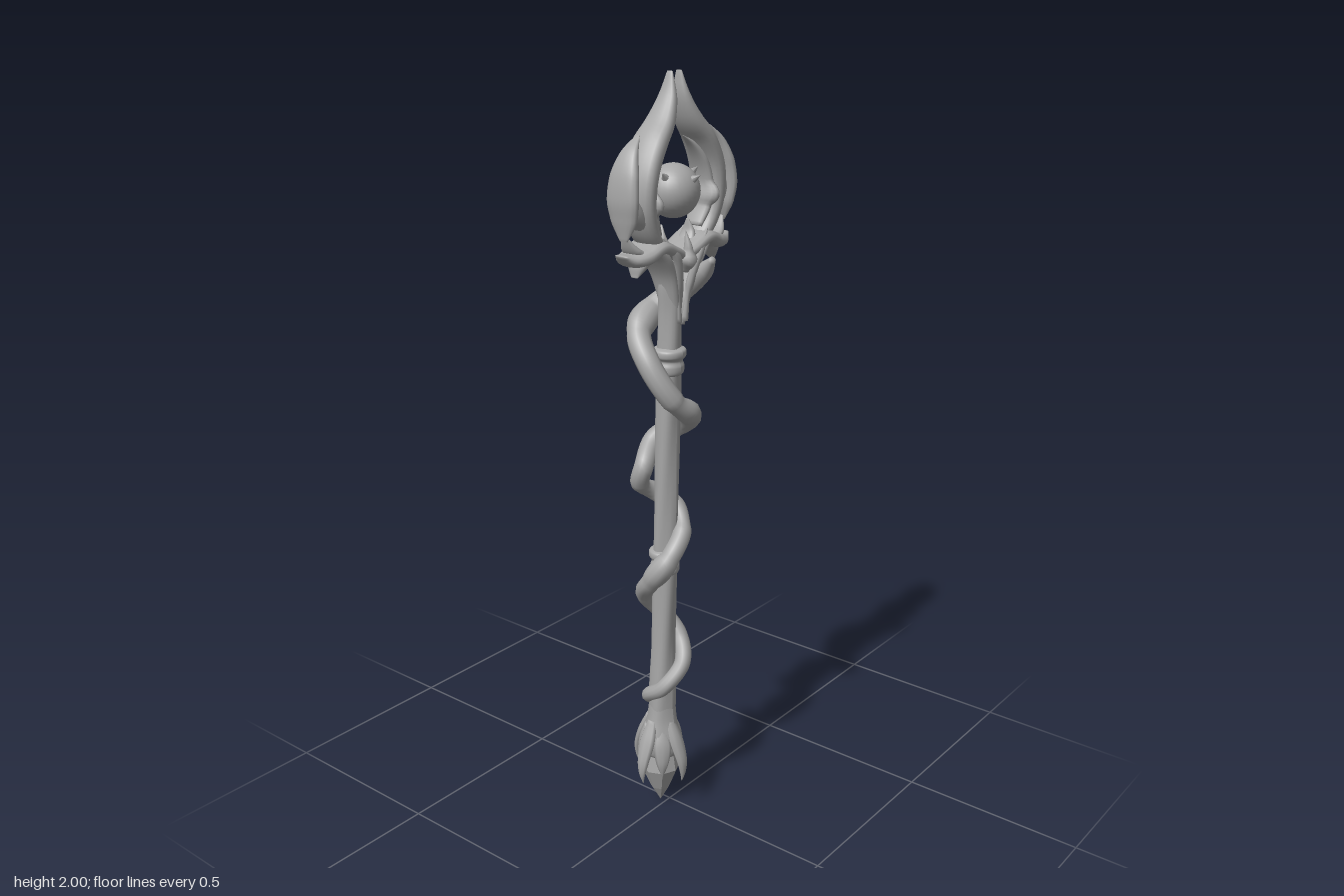
import * as THREE from 'three';

const grey = new THREE.MeshStandardMaterial({ color: 0xa6a6a6 });
grey.name = 'stone grey';

const add = (parent, name, geometry) => {
  const mesh = new THREE.Mesh(geometry, grey);
  mesh.name = name;
  parent.add(mesh);
  return mesh;
};

// Smooth sweep through [x, y, z, width, depth] stations, closed at both ends.
function sweep(stations, steps = 40, sides = 12, power = 1) {
  const curve = new THREE.CatmullRomCurve3(stations.map(s => new THREE.Vector3(s[0], s[1], s[2])));
  const sizes = new THREE.CatmullRomCurve3(stations.map(s => new THREE.Vector3(s[3], s[4], 0)));
  const { normals, binormals } = curve.computeFrenetFrames(steps, false);
  const pos = [], index = [];
  const lobe = v => Math.sign(v) * Math.abs(v) ** power;
  for (let i = 0; i <= steps; i++) {
    const u = i / steps, t = curve.getUtoTmapping(u);
    const p = curve.getPoint(t), size = sizes.getPoint(t);
    for (let j = 0; j < sides; j++) {
      const a = j / sides * Math.PI * 2;
      const v = p.clone()
        .addScaledVector(normals[i], lobe(Math.cos(a)) * Math.max(size.y, 0.001))
        .addScaledVector(binormals[i], lobe(Math.sin(a)) * Math.max(size.x, 0.001));
      pos.push(v.x, v.y, v.z);
      if (i < steps) {
        const k = (j + 1) % sides, r = i * sides, n = r + sides;
        index.push(r + j, r + k, n + j, r + k, n + k, n + j);
      }
    }
  }
  const start = pos.length / 3, last = steps * sides;
  const s = curve.getPoint(0), e = curve.getPoint(1);
  pos.push(s.x, s.y, s.z, e.x, e.y, e.z);
  for (let j = 0; j < sides; j++) {
    const k = (j + 1) % sides;
    index.push(start, k, j, start + 1, last + j, last + k);
  }
  const g = new THREE.BufferGeometry();
  g.setAttribute('position', new THREE.Float32BufferAttribute(pos, 3));
  g.setIndex(index);
  g.computeVertexNormals();
  return g;
}

// The pole leans very slightly from its foot to its head.
const axisAt = y => [-0.02 + 0.012 * y / 1.6, -0.018 + 0.03 * y / 1.6];

function turned(profile, ridge = 0) {
  const curve = new THREE.CatmullRomCurve3(profile.map(([r, y]) => new THREE.Vector3(r, y, 0)));
  const points = curve.getPoints(profile.length * 8).map(p => new THREE.Vector2(Math.max(p.x, 0), p.y));
  const g = new THREE.LatheGeometry(points, 24);
  const p = g.attributes.position;
  for (let i = 0; i < p.count; i++) {
    const x = p.getX(i), y = p.getY(i), z = p.getZ(i);
    const k = 1 + ridge * Math.sin(Math.atan2(z, x) * 4 + y * 9);
    const [ax, az] = axisAt(y);
    p.setXYZ(i, x * k + ax, y, z * k + az);
  }
  g.computeVertexNormals();
  return g;
}

export function createModel() {
  const model = new THREE.Group();
  model.name = 'staff';

  // Pole with twisted grain, two collars and a flared neck
  add(model, 'shaft', turned([[0.036, 0.2], [0.036, 0.35], [0.031, 0.5], [0.033, 0.75], [0.031, 1],
    [0.031, 1.25], [0.03, 1.42], [0.034, 1.5], [0.03, 1.56]], 0.06));
  for (const y of [0.75, 1.3]) {
    add(model, 'collar', turned([[0.028, y - 0.04], [0.037, y - 0.033], [0.039, y - 0.015], [0.035, y],
      [0.043, y + 0.012], [0.042, y + 0.027], [0.028, y + 0.034]]));
  }

  // Vine winding round the pole, thicker towards the top
  add(model, 'windingVine', sweep([
    [0.05, 1.555, 0.095, 0.008], [0.062, 1.52, 0.06, 0.023], [0.062, 1.47, 0, 0.03],
    [0.015, 1.42, -0.06, 0.031], [-0.06, 1.37, -0.05, 0.031], [-0.086, 1.30, 0.005, 0.03],
    [-0.055, 1.21, 0.055, 0.029], [0.01, 1.16, 0.058, 0.029], [0.046, 1.12, 0.01, 0.028],
    [0.01, 1.07, -0.058, 0.027], [-0.052, 1.01, -0.045, 0.026], [-0.045, 0.96, -0.062, 0.025],
    [0.005, 0.925, -0.055, 0.025], [0.03, 0.89, -0.005, 0.025], [0.0, 0.84, 0.042, 0.025],
    [-0.055, 0.78, 0.045, 0.026], [-0.075, 0.71, 0.0, 0.026], [-0.035, 0.64, -0.056, 0.025],
    [0.022, 0.57, -0.045, 0.024], [0.034, 0.51, 0.005, 0.023], [0.0, 0.45, 0.044, 0.022],
    [-0.05, 0.385, 0.018, 0.021], [-0.045, 0.345, -0.035, 0.02], [-0.015, 0.315, -0.056, 0.017],
    [0.018, 0.28, -0.04, 0.006],
  ].map(s => [...s, s[3]]), 260, 12));

  // Foot: swollen socket, pointed crystal and curling talons
  add(model, 'footSocket', turned([[0.034, 0.33], [0.041, 0.27], [0.052, 0.22], [0.054, 0.19],
    [0.043, 0.16], [0.01, 0.15]].reverse(), 0.05));
  const foot = new THREE.Group();
  foot.name = 'foot';
  foot.position.set(-0.02, 0, -0.017);
  model.add(foot);
  const crystal = new THREE.LatheGeometry([[0, 0], [0.028, 0.05], [0.054, 0.115], [0.045, 0.17], [0, 0.23]]
    .map(p => new THREE.Vector2(...p)), 8).toNonIndexed();
  crystal.computeVertexNormals();
  add(foot, 'crystal', crystal);
  for (let i = 0; i < 4; i++) {
    const a = i * Math.PI / 2;
    add(foot, 'talon', sweep([[0.034, 0.27, 0, 0.01, 0.015], [0.058, 0.21, 0, 0.014, 0.024],
      [0.077, 0.155, 0, 0.011, 0.018], [0.08, 0.12, 0, 0.007, 0.009], [0.076, 0.092, 0, 0.001, 0.001]],
      20, 8)).rotation.y = a;
    add(foot, 'petal', sweep([[0.036, 0.25, 0, 0.008, 0.012], [0.05, 0.2, 0, 0.01, 0.025],
      [0.055, 0.15, 0, 0.008, 0.017], [0.052, 0.105, 0, 0.001, 0.001]], 16, 8)).rotation.y = a + Math.PI / 4;
  }

  // Head: floating orb held inside paired horns
  const head = new THREE.Group();
  head.name = 'head';
  head.position.set(0.003, 0, 0.012);
  model.add(head);
  add(head, 'orb', new THREE.SphereGeometry(0.066, 28, 20)).position.set(-0.004, 1.72, 0);
  for (const [x, y, z] of [[-0.8, 0.6, 0.25], [0.75, 0.62, 0.3], [0.1, 0.5, 0.9], [-0.1, 0.6, -0.85],
    [0.75, 0.3, -0.65], [-0.75, -0.2, -0.65]]) {
    const dir = new THREE.Vector3(x, y, z).normalize();
    const stud = add(head, 'orbStud', new THREE.ConeGeometry(0.013, 0.03, 8));
    stud.position.set(-0.004, 1.72, 0).addScaledVector(dir, 0.072);
    stud.quaternion.setFromUnitVectors(new THREE.Vector3(0, 1, 0), dir);
  }

  // Stations in the plane of the head: [x, y, width, depth]
  const parts = {
    horn: [[0.017, 1.998, 0.002, 0.008], [0.026, 1.94, 0.014, 0.026], [0.053, 1.885, 0.023, 0.04],
      [0.096, 1.835, 0.026, 0.049], [0.128, 1.77, 0.026, 0.051], [0.134, 1.70, 0.026, 0.048],
      [0.113, 1.635, 0.022, 0.042], [0.07, 1.585, 0.016, 0.036]],
    innerBlade: [[0.034, 1.845, 0.001, 0.003], [0.062, 1.825, 0.007, 0.015], [0.093, 1.785, 0.012, 0.028],
      [0.109, 1.73, 0.012, 0.034], [0.103, 1.675, 0.012, 0.034], [0.078, 1.625, 0.008, 0.024]],
    outerBlade: [[0.135, 1.862, 0.001, 0.006], [0.165, 1.825, 0.011, 0.025], [0.184, 1.775, 0.016, 0.041],
      [0.191, 1.72, 0.016, 0.046], [0.188, 1.67, 0.013, 0.038], [0.19, 1.625, 0.002, 0.012]],
    bladeRoot: [[0.183, 1.73, 0.012, 0.025], [0.155, 1.685, 0.018, 0.032], [0.118, 1.64, 0.016, 0.03]],
    wing: [[0, 1.562, 0.017, 0.046], [0.045, 1.582, 0.019, 0.053], [0.09, 1.598, 0.02, 0.054],
      [0.135, 1.582, 0.021, 0.05], [0.17, 1.578, 0.017, 0.038], [0.202, 1.592, 0.003, 0.016]],
    wingTip: [[0.13, 1.58, 0.014, 0.034], [0.163, 1.6, 0.011, 0.028], [0.19, 1.64, 0.001, 0.006]],
    wingHook: [[0.105, 1.592, 0.014, 0.036], [0.138, 1.562, 0.014, 0.03], [0.152, 1.532, 0.002, 0.01]],
    brace: [[0.008, 1.39, 0.014, 0.024], [0.022, 1.46, 0.015, 0.032], [0.042, 1.52, 0.013, 0.04],
      [0.068, 1.565, 0.015, 0.045], [0.1, 1.6, 0.014, 0.04]],
    cradleSpike: [[0.04, 1.58, 0.013, 0.03], [0.055, 1.612, 0.009, 0.02], [0.052, 1.645, 0.001, 0.004]],
  };
  for (const [name, rows] of Object.entries(parts)) {
    for (const side of [1, -1]) {
      add(head, (side > 0 ? 'left ' : 'right ') + name,
        sweep(rows.map(([x, y, w, d]) => [x * side, y, 0, w, d]), 32, 16, 0.85));
    }
  }

  // Small thorns around the cradle, front and back
  for (const z of [-1, 1]) {
    add(head, 'cradleThorn', sweep([[0, 1.53, z * 0.03, 0.014, 0.012], [-0.002, 1.575, z * 0.045, 0.014, 0.012],
      [-0.004, 1.628, z * 0.038, 0.001, 0.001]], 14, 8));
    for (const x of [-1, 1]) {
      add(head, 'neckRib', sweep([[x * 0.012, 1.4, z * 0.022, 0.01, 0.01], [x * 0.022, 1.49, z * 0.03, 0.01, 0.01],
        [x * 0.045, 1.57, z * 0.044, 0.011, 0.011], [x * 0.085, 1.62, z * 0.036, 0.002, 0.002]], 20, 8));
    }
  }
  return model;
}
